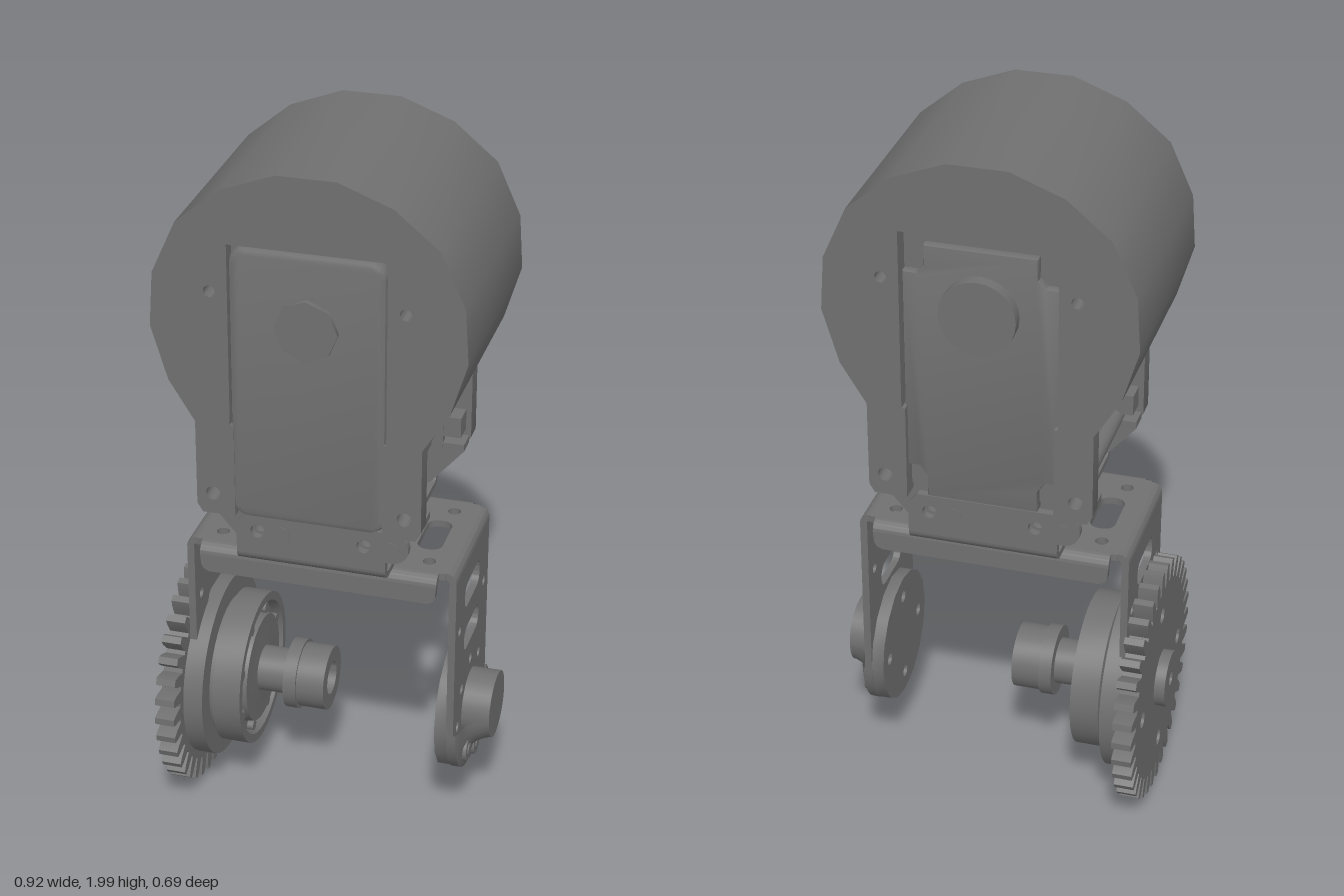
import * as THREE from 'three';
import { toCreasedNormals } from 'three/addons/utils/BufferGeometryUtils.js';

const material = new THREE.MeshStandardMaterial({ color: 0x707070, side: THREE.DoubleSide });
const HALF = Math.PI / 2;
const AXLE_Y = 0.35;

function add(parent, name, geometry, x = 0, y = 0, z = 0) {
  const mesh = new THREE.Mesh(geometry, material);
  mesh.name = name;
  mesh.position.set(x, y, z);
  parent.add(mesh);
  return mesh;
}

function group(name, x, y) {
  const g = new THREE.Group();
  g.name = name;
  g.position.set(x, y, 0);
  return g;
}

const poly = (pts) => new THREE.Shape(pts.map(([x, y]) => new THREE.Vector2(x, y)));
const mirrored = (pts) => poly([...pts, ...pts.map(([x, y]) => [-x, y]).reverse()]);

function roundRect(cx, cy, w, h, r, Type = THREE.Shape) {
  const s = new Type(), x = w / 2 - r, y = h / 2 - r;
  s.absarc(cx + x, cy + y, r, 0, HALF);
  s.absarc(cx - x, cy + y, r, HALF, 2 * HALF);
  s.absarc(cx - x, cy - y, r, 2 * HALF, 3 * HALF);
  s.absarc(cx + x, cy - y, r, 3 * HALF, 4 * HALF);
  s.closePath();
  return s;
}

const slot = (cx, cy, w, h) => roundRect(cx, cy, w, h, 0.03, THREE.Path);
const hole = (cx, cy, r) => new THREE.Path().absarc(cx, cy, r, 0, Math.PI * 2);

// Extrusion along z, x or y
function extrude(shape, depth, axis = 'z', bevel = 0) {
  const g = new THREE.ExtrudeGeometry(shape, {
    depth: depth - 2 * bevel, curveSegments: 8, bevelEnabled: bevel > 0,
    bevelSize: bevel, bevelThickness: bevel, bevelOffset: -bevel, bevelSegments: 2 });
  g.translate(0, 0, bevel);
  if (axis === 'x') g.rotateY(HALF);
  if (axis === 'y') g.rotateX(-HALF);
  return toCreasedNormals(g, 0.6);
}

function cylinder(r, length, axis, sides = 24) {
  const g = new THREE.CylinderGeometry(r, r, length, sides);
  if (axis === 'z') g.rotateX(HALF);
  if (axis === 'x') g.rotateZ(-HALF);
  return g;
}

// Turned part about the x axis from [radius, x] points; half a sweep is the lower half
function turned(pts, sweep = Math.PI * 2) {
  const g = new THREE.LatheGeometry(pts.map(([r, x]) => new THREE.Vector2(r, x)), 40, 0, sweep);
  return toCreasedNormals(g.rotateZ(-HALF), 0.6);
}

// Sheet-metal bend: quarter ring running along z
function bend(r, t, length) {
  const s = new THREE.Shape();
  s.absarc(0, 0, r, 0, HALF);
  s.absarc(0, 0, r - t, HALF, 0, true);
  s.closePath();
  return extrude(s, length).translate(0, 0, -length / 2);
}

function buildHead() {
  const g = group('head', 0.004, 0);
  // Faceted drum with a slot for the servo
  const drum = mirrored([[0.08, 2], [0.225, 1.945], [0.345, 1.845], [0.41, 1.7], [0.42, 1.55],
    [0.375, 1.4], [0.3, 1.28], [0.21, 1.28], [0.21, 1.8]]);
  drum.holes.push(hole(0.258, 1.665, 0.016), hole(-0.258, 1.665, 0.016));
  add(g, 'drum', extrude(drum, 0.61), 0, 0, -0.305);

  // Servo case, front cover and notched back cover
  add(g, 'servoBody', new THREE.BoxGeometry(0.416, 0.76, 0.53), 0, 1.42, 0.005);
  add(g, 'frontCover', extrude(roundRect(0, 1.408, 0.416, 0.772, 0.045), 0.066, 'z', 0.015), 0, 0, 0.24);
  add(g, 'frontBoss', cylinder(0.085, 0.02, 'z', 8), 0, 1.59, 0.31);
  add(g, 'backCover', extrude(mirrored([[0.15, 1.02], [0.15, 1.08], [0.17, 1.11], [0.207, 1.11],
    [0.207, 1.68], [0.17, 1.68], [0.15, 1.7], [0.15, 1.76]]), 0.04, 'z', 0.006), 0, 0, -0.285);
  add(g, 'backBoss', cylinder(0.103, 0.05, 'z'), 0, 1.59, -0.295);

  for (const sx of [1, -1]) {
    for (const sz of [1, -1]) {
      // Cheek plate beside the servo
      const cheek = poly([[0.2, 1.29], [0.305, 1.29], [0.305, 1.045], [0.29, 1.02], [0.2, 1.02]]
        .map(([x, y]) => [sx * x, y]));
      cheek.holes.push(hole(sx * 0.26, 1.08, 0.02));
      add(g, 'cheekPlate', extrude(cheek, 0.055), 0, 0, sz > 0 ? 0.25 : -0.305);
      // Mounting lug below it
      const lug = poly([[0.1, 1.05], [0.3, 1.05], [0.3, 1.03], [0.205, 0.92], [0.1, 0.92]]
        .map(([x, y]) => [sx * x, y]));
      lug.holes.push(hole(sx * 0.146, 0.97, 0.02));
      add(g, 'mountLug', extrude(lug, 0.06), 0, 0, sz > 0 ? 0.19 : -0.25);
      add(g, 'caseRib', new THREE.BoxGeometry(0.04, 0.25, 0.025), sx * 0.22, 1.16, sz * 0.2);
      add(g, 'sideBracket', new THREE.BoxGeometry(0.09, 0.06, 0.06), sx * 0.245, 1.1, sz * 0.22);
    }
    add(g, 'casePanel', new THREE.BoxGeometry(0.02, 0.2, 0.23), sx * 0.212, 1.18, -0.115);
    add(g, 'casePanel', new THREE.BoxGeometry(0.02, 0.19, 0.18), sx * 0.207, 1.185, 0.09);
  }
  add(g, 'cableTube', cylinder(0.026, 0.5, 'z', 16), -0.235, 1.055, 0);
  return g;
}

function buildNeck() {
  const g = group('neckBracket', 0.004, 0);
  add(g, 'basePlate', new THREE.BoxGeometry(0.41, 0.018, 0.51), 0, 0.879, 0);
  // The two flanges are turned half round from each other
  for (const turn of [0, Math.PI]) {
    const side = group('flange', 0, 0);
    side.rotation.y = turn;
    g.add(side);
    const ear = new THREE.Shape();
    ear.moveTo(-0.205, 0.9);
    ear.lineTo(0.205, 0.9);
    ear.lineTo(0.205, 0.93);
    ear.lineTo(0.235, 0.93);
    ear.absarc(0.222, 0.975, 0.045, -HALF, HALF);
    ear.lineTo(-0.18, 1.02);
    ear.lineTo(-0.205, 0.99);
    ear.holes.push(hole(-0.146, 0.97, 0.02), hole(0.146, 0.97, 0.02));
    add(side, 'ear', extrude(ear, 0.022), 0, 0, 0.262);
    for (const x of [-0.08, 0.22]) add(side, 'rivet', cylinder(0.022, 0.026, 'z', 12), x, 0.97, 0.273);
    add(side, 'fold', bend(0.034, 0.018, 0.41), 0, 0.904, 0.25).rotation.set(0, -HALF, -HALF);
  }
  return g;
}

function buildFork() {
  const g = group('fork', 0.003, 0);
  // Perforated top plate
  const top = roundRect(0, 0, 0.696, 0.39, 0.001);
  for (const s of [1, -1]) {
    top.holes.push(slot(s * 0.27, 0, 0.07, 0.16), hole(s * 0.29, 0.14, 0.018), hole(s * 0.29, -0.14, 0.018));
  }
  for (let i = 0; i < 8; i++) {
    const a = i * Math.PI / 4;
    top.holes.push(hole(0.13 * Math.cos(a), 0.13 * Math.sin(a), 0.016));
  }
  add(g, 'topPlate', extrude(top, 0.02, 'y'), 0, 0.847, 0);
  add(g, 'centreScrew', cylinder(0.045, 0.03, 'y', 16), 0, 0.835, 0);

  // Arm outline with slots and holes
  const arm = new THREE.Shape();
  arm.moveTo(0.19, 0.837);
  arm.lineTo(-0.19, 0.837);
  arm.absarc(0, AXLE_Y, 0.19, Math.PI, Math.PI * 2);
  arm.holes.push(slot(0, 0.73, 0.17, 0.075), slot(0, 0.59, 0.17, 0.07), hole(0.14, 0.66, 0.015),
    hole(-0.14, 0.66, 0.015));
  for (let i = 0; i < 5; i++) {
    const a = i * Math.PI / 4;
    arm.holes.push(hole(0.14 * Math.cos(a), AXLE_Y + 0.14 * Math.sin(a), 0.016));
  }
  for (const s of [1, -1]) {
    add(g, 'arm', extrude(arm, 0.02, 'x'), s > 0 ? 0.358 : -0.378);
    add(g, 'armFold', bend(0.03, 0.02, 0.38), s * 0.348, 0.837).rotation.y = s > 0 ? 0 : Math.PI;
    // Stiffening lip along the plate edge
    const lip = mirrored([[0.305, 0.785], [0.32, 0.792], [0.327, 0.805], [0.33, 0.838]]);
    add(g, 'lip', extrude(lip, 0.02), 0, 0, s > 0 ? 0.204 : -0.224);
    add(g, 'lipFold', bend(0.03, 0.02, 0.66), 0, 0.837, s * 0.194).rotation.y = -s * HALF;
  }
  return g;
}

function buildGearHub() {
  const g = group('gearHub', 0, AXLE_Y);
  // Spur gear
  const teeth = 36, pitch = Math.PI * 2 / teeth, pts = [];
  const tooth = [[0.288, -0.38], [0.325, -0.27], [0.345, -0.16], [0.345, 0.16], [0.325, 0.27], [0.288, 0.38]];
  for (let i = 0; i < teeth; i++) {
    for (const [r, o] of tooth) {
      const a = -HALF + (i + o) * pitch;
      pts.push([r * Math.cos(a), r * Math.sin(a)]);
    }
  }
  const gear = poly(pts);
  for (let i = 0; i < 4; i++) gear.holes.push(hole(0.21 * Math.cos(i * HALF), 0.21 * Math.sin(i * HALF), 0.024));
  add(g, 'gear', extrude(gear, 0.055, 'x'), -0.43);
  // Hub, bearing and hollow shaft in one turned profile
  add(g, 'hubAndShaft', turned([[0, -0.44], [0.02, -0.44], [0.02, -0.46], [0.08, -0.46], [0.08, -0.377],
    [0.265, -0.377], [0.265, -0.32], [0.2, -0.32], [0.2, -0.31], [0.22, -0.305], [0.22, -0.225], [0.195, -0.225],
    [0.185, -0.25], [0.16, -0.25], [0.155, -0.225], [0.12, -0.225], [0.065, -0.222], [0.065, -0.137], [0.1, -0.137],
    [0.1, -0.1], [0.092, -0.1], [0.092, -0.02], [0.048, -0.02], [0.048, -0.08], [0, -0.08]]));
  for (let i = 0; i < 8; i++) {
    const a = (i + 0.5) * Math.PI / 4;
    add(g, 'hubBolt', cylinder(0.016, 0.02, 'x', 10), -0.242, 0.172 * Math.sin(a), 0.172 * Math.cos(a));
  }
  return g;
}

function buildIdlerHub() {
  const g = group('idlerHub', 0.004, AXLE_Y);
  // Inner disc with screw holes
  const disc = new THREE.Shape().absarc(0, 0, 0.19, 0, Math.PI * 2);
  for (let i = 0; i < 4; i++) disc.holes.push(hole(0.13 * Math.cos(i * HALF), 0.13 * Math.sin(i * HALF), 0.018));
  add(g, 'disc', extrude(disc, 0.034, 'x'), 0.323);
  add(g, 'cap', cylinder(0.095, 0.086, 'x', 32), 0.413);
  // Flared lower half with bolts
  add(g, 'flare', turned([[0.19, 0.357], [0.19, 0.383], [0.175, 0.39], [0.15, 0.393], [0.125, 0.4],
    [0.11, 0.415], [0.1, 0.435], [0.095, 0.45]], Math.PI));
  for (const o of [-0.8, 0, 0.8]) {
    const y = -0.14 * Math.cos(o), z = 0.14 * Math.sin(o);
    add(g, 'bolt', cylinder(0.034, 0.03, 'x', 16), 0.387, y, z);
    add(g, 'boltHead', cylinder(0.018, 0.012, 'x', 6), 0.4, y, z);
  }
  return g;
}

export function createModel() {
  const model = new THREE.Group();
  model.name = 'robotHeadAndFork';
  model.add(buildHead(), buildNeck(), buildFork(), buildGearHub(), buildIdlerHub());
  return model;
}
